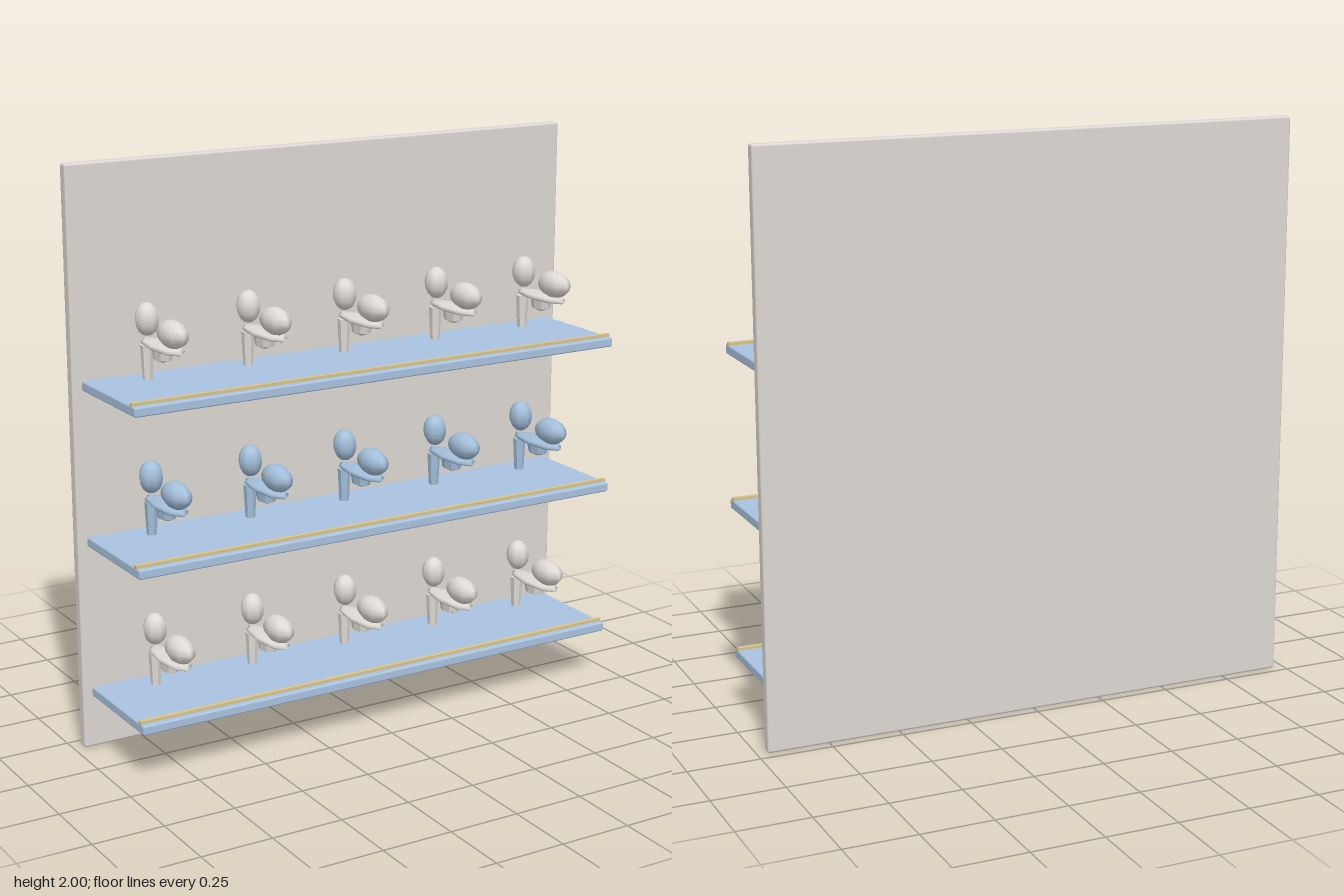
import * as THREE from 'three';
import { RoundedBoxGeometry } from 'three/addons/geometries/RoundedBoxGeometry.js';

const mat = (color, flatShading = false) => new THREE.MeshStandardMaterial({ color, flatShading });

function add(parent, name, geometry, material, x, y, z) {
  const mesh = new THREE.Mesh(geometry, material);
  mesh.name = name;
  mesh.position.set(x, y, z);
  parent.add(mesh);
  return mesh;
}

// Low-poly ellipsoid given by its half sizes
const ellipsoid = (rx, ry, rz, rings = 8) =>
  new THREE.SphereGeometry(1, 8, rings).scale(rx, ry, rz);

// Shared shoe shapes
const toeGeo = ellipsoid(0.044, 0.046, 0.077);
const counterGeo = ellipsoid(0.042, 0.056, 0.042);
const soleGeo = ellipsoid(0.046, 0.015, 0.138, 6);
const heelGeo = new THREE.CylinderGeometry(0.023, 0.017, 0.115, 6);
const platformGeo = new THREE.LatheGeometry(
  [[0, -0.025], [0.034, -0.012], [0.04, 0.025], [0, 0.025]].map(([r, y]) => new THREE.Vector2(r, y)), 8)
  .scale(0.85, 1, 1.15);

// One high-heeled shoe standing on y = 0, toe towards +z
function createShoe(smooth, flat) {
  const shoe = new THREE.Group();
  shoe.name = 'shoe';
  add(shoe, 'toe', toeGeo, smooth, 0, 0.188, 0.098);
  add(shoe, 'heelCounter', counterGeo, smooth, 0, 0.202, -0.088);
  add(shoe, 'sole', soleGeo, smooth, 0, 0.132, 0.022);
  add(shoe, 'platform', platformGeo, flat, 0, 0.103, 0.022);
  add(shoe, 'heel', heelGeo, flat, 0, 0.0575, -0.093);
  return shoe;
}

export function createModel() {
  const model = new THREE.Group();
  model.name = 'shoeDisplay';

  const panelMat = mat(0xdcd7d2);
  const shelfMat = mat(0xa9c3e0);
  const trimMat = mat(0xd9c58b);
  const pale = [mat(0xdedad4), mat(0xdedad4, true)];
  const blue = [mat(0xa3bfda), mat(0xa3bfda, true)];

  // Back panel
  add(model, 'backPanel', new RoundedBoxGeometry(1.93, 2, 0.04, 2, 0.008), panelMat, 0, 1, -0.2);

  // Three shelves, each with a front trim and a row of five shoes
  const shelfGeo = new RoundedBoxGeometry(1.864, 0.033, 0.4, 2, 0.006);
  const trimGeo = new THREE.BoxGeometry(1.864, 0.014, 0.016);
  for (let row = 0; row < 3; row++) {
    const top = 0.218 + row * 0.535;
    const shelf = new THREE.Group();
    shelf.name = 'shelf' + (row + 1);
    shelf.position.y = top;
    add(shelf, 'shelfBoard', shelfGeo, shelfMat, 0, -0.0165, 0.02);
    add(shelf, 'shelfTrim', trimGeo, trimMat, 0, 0.003, 0.192);
    const [smooth, flat] = row === 1 ? blue : pale;
    for (let i = 0; i < 5; i++) {
      const shoe = createShoe(smooth, flat);
      shoe.position.x = -0.734 + i * 0.3735;
      shelf.add(shoe);
    }
    model.add(shelf);
  }
  return model;
}
